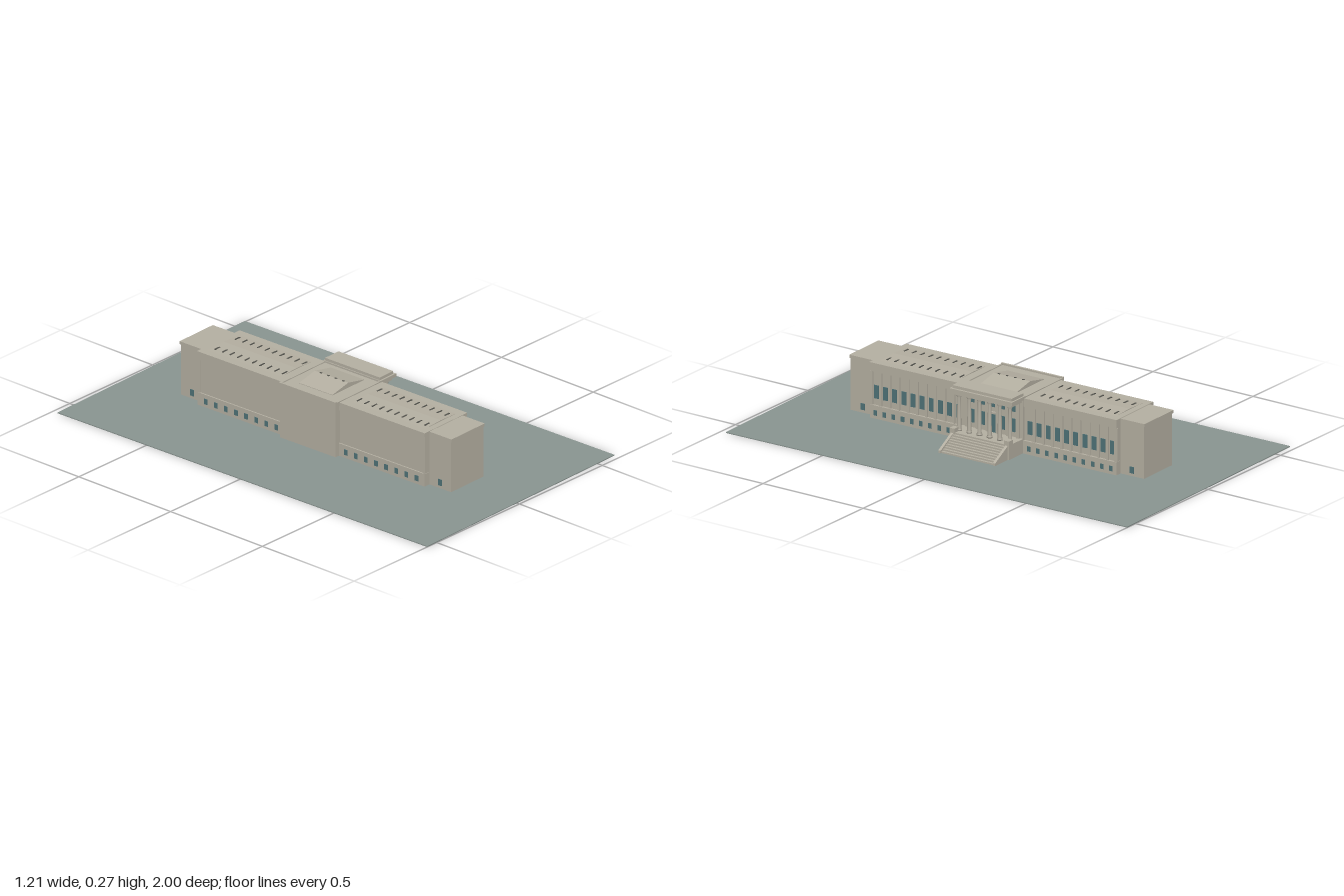
import * as THREE from 'three';

const stone = new THREE.MeshStandardMaterial({ color: 0xb5b0a2 });
stone.name = 'stone';
const lawn = new THREE.MeshStandardMaterial({ color: 0x8a9591 });
lawn.name = 'ground';
const glass = new THREE.MeshStandardMaterial({ color: 0x4f7378 });
glass.name = 'window glass';
const dark = new THREE.MeshStandardMaterial({ color: 0x55554f });
dark.name = 'roof vent';

const CX = -0.024; // long axis of the building

export function createModel() {
  const root = new THREE.Group();
  root.name = 'columnedBuilding';
  // The whole site is turned slightly about the vertical
  root.rotation.y = 0.0228;

  const add = (name, geo, mat) => {
    const mesh = new THREE.Mesh(geo, mat);
    mesh.name = name;
    root.add(mesh);
    return mesh;
  };
  // Box given by its min and max on each axis
  const box = (name, x0, x1, y0, y1, z0, z1, mat = stone) => {
    const m = add(name, new THREE.BoxGeometry(x1 - x0, y1 - y0, z1 - z0), mat);
    m.position.set((x0 + x1) / 2, (y0 + y1) / 2, (z0 + z1) / 2);
    return m;
  };
  // Box mirrored to both ends of the building
  const pair = (name, x0, x1, y0, y1, z0, z1, mat) => {
    box(name, x0, x1, y0, y1, z0, z1, mat);
    box(name, x0, x1, y0, y1, -z1, -z0, mat);
  };
  // Profile in x and y, extruded along z
  const extrude = (name, pts, z0, z1) => {
    const shape = new THREE.Shape(pts.map(p => new THREE.Vector2(...p)));
    const geo = new THREE.ExtrudeGeometry(shape, { depth: z1 - z0, bevelEnabled: false });
    add(name, geo.translate(0, 0, z0), stone);
  };

  box('ground', -0.581, 0.581, 0, 0.004, -0.987, 0.987, lawn);

  // End blocks
  pair('endBlock', CX - 0.1, CX + 0.1, 0.004, 0.235, 0.58, 0.722);
  pair('endCornice', CX - 0.103, CX + 0.103, 0.228, 0.241, 0.58, 0.726);
  pair('endWindow', CX + 0.1, CX + 0.102, 0.016, 0.044, 0.652, 0.672, glass);
  pair('endWindow', CX - 0.102, CX - 0.1, 0.016, 0.044, 0.652, 0.672, glass);

  // Wings: plinth, wall, cornice and corner piers
  pair('wingWall', CX - 0.124, CX + 0.12, 0.004, 0.235, 0.13, 0.602);
  pair('wingPlinth', CX - 0.13, CX + 0.13, 0.004, 0.06, 0.13, 0.606);
  pair('wingFrieze', CX - 0.128, CX + 0.128, 0.205, 0.228, 0.13, 0.605);
  pair('wingCornice', CX - 0.132, CX + 0.132, 0.228, 0.243, 0.13, 0.608);
  pair('wingPier', CX - 0.128, CX + 0.128, 0.06, 0.205, 0.594, 0.605);
  for (const s of [1, -1]) {
    extrude('wingRoof', [[CX - 0.12, 0.242], [CX + 0.12, 0.242], [CX, 0.247]],
      s > 0 ? 0.19 : -0.58, s > 0 ? 0.58 : -0.19);
  }

  // Wing windows, pilasters and roof vents
  for (let i = 0; i < 10; i++) {
    const z = 0.175 + i * 0.045;
    pair('tallWindow', CX + 0.12, CX + 0.123, 0.088, 0.145, z - 0.011, z + 0.011, glass);
    pair('baseWindow', CX + 0.13, CX + 0.132, 0.018, 0.04, z - 0.008, z + 0.008, glass);
    pair('pilaster', CX + 0.12, CX + 0.126, 0.06, 0.205, z + 0.017, z + 0.028);
    const zv = 0.2 + i * 0.04;
    for (const x of [-0.062, 0.062])
      pair('roofVent', CX + x - 0.015, CX + x + 0.015, 0.243, 0.2468, zv - 0.003, zv + 0.003, dark);
  }
  for (let i = 0; i < 8; i++) {
    const z = 0.185 + i * 0.054;
    pair('rearBaseWindow', CX - 0.132, CX - 0.13, 0.018, 0.042, z - 0.009, z + 0.009, glass);
  }

  // Centre block with parapet and gabled roof lantern
  box('centreBlock', -0.175, 0.106, 0.004, 0.243, -0.148, 0.148);
  box('centreCornice', -0.179, 0.11, 0.228, 0.24, -0.152, 0.152);
  box('rearParapet', -0.179, -0.169, 0.24, 0.25, -0.152, 0.152);
  pair('sideParapet', -0.179, 0.11, 0.24, 0.247, 0.144, 0.152);
  extrude('lanternRoof', [[-0.122, 0.242], [0.074, 0.242], [0.074, 0.245], [CX, 0.265], [-0.122, 0.245]],
    -0.092, 0.086);
  for (const z of [-0.06, -0.02, 0.02, 0.06])
    box('ridgeVent', CX - 0.003, CX + 0.003, 0.262, 0.2665, z - 0.005, z + 0.005, dark);

  // Entrance wall behind the columns
  for (const z of [-0.1, -0.05, 0, 0.05, 0.1]) {
    box('upperWindow', 0.106, 0.109, 0.175, 0.203, z - 0.009, z + 0.009, glass);
    if (z) box('entranceWindow', 0.106, 0.109, 0.088, 0.145, z - 0.009, z + 0.009, glass);
  }
  box('door', 0.106, 0.109, 0.066, 0.145, -0.014, 0.014, glass);
  box('doorHood', 0.106, 0.116, 0.147, 0.155, -0.02, 0.02);

  // Portico floor and layered entablature
  box('porticoFloor', 0.1, 0.186, 0.004, 0.066, -0.146, 0.146);
  box('architrave', 0.1, 0.182, 0.222, 0.236, -0.142, 0.142);
  box('porticoCornice', 0.098, 0.195, 0.236, 0.25, -0.154, 0.154);
  box('porticoAttic', 0.102, 0.185, 0.25, 0.262, -0.146, 0.146);

  // Columns with bases and capitals, and matching wall pilasters
  const profile = [[0, 0], [0.012, 0], [0.012, 0.006], [0.009, 0.01], [0.0085, 0.07],
    [0.0072, 0.142], [0.011, 0.152], [0.011, 0.157], [0, 0.157]].map(p => new THREE.Vector2(...p));
  const columnGeo = new THREE.LatheGeometry(profile, 16);
  for (let i = 0; i < 6; i++) {
    const z = -0.125 + i * 0.05;
    add('column', columnGeo, stone).position.set(0.167, 0.066, z);
    box('wallPilaster', 0.106, 0.114, 0.066, 0.222, z - 0.007, z + 0.007);
  }

  // Front steps between sloping side walls with pedestals
  const steps = [[0.18, 0.004]];
  const count = 9;
  for (let i = 0; i < count; i++) {
    const y = 0.004 + (i + 1) * 0.062 / count;
    const x = 0.29 - i * 0.1 / count;
    steps.push([x, y - 0.062 / count], [x, y]);
  }
  steps.push([0.18, 0.066]);
  extrude('frontSteps', steps.slice(0, 1).concat(steps.slice(1)), -0.128, 0.128);
  const cheek = [[0.18, 0.004], [0.294, 0.004], [0.294, 0.015], [0.205, 0.064], [0.18, 0.064]];
  extrude('stepWall', cheek, 0.128, 0.14);
  extrude('stepWall', cheek, -0.14, -0.128);
  pair('stepPedestal', 0.176, 0.205, 0.004, 0.084, 0.122, 0.146);

  return root;
}
